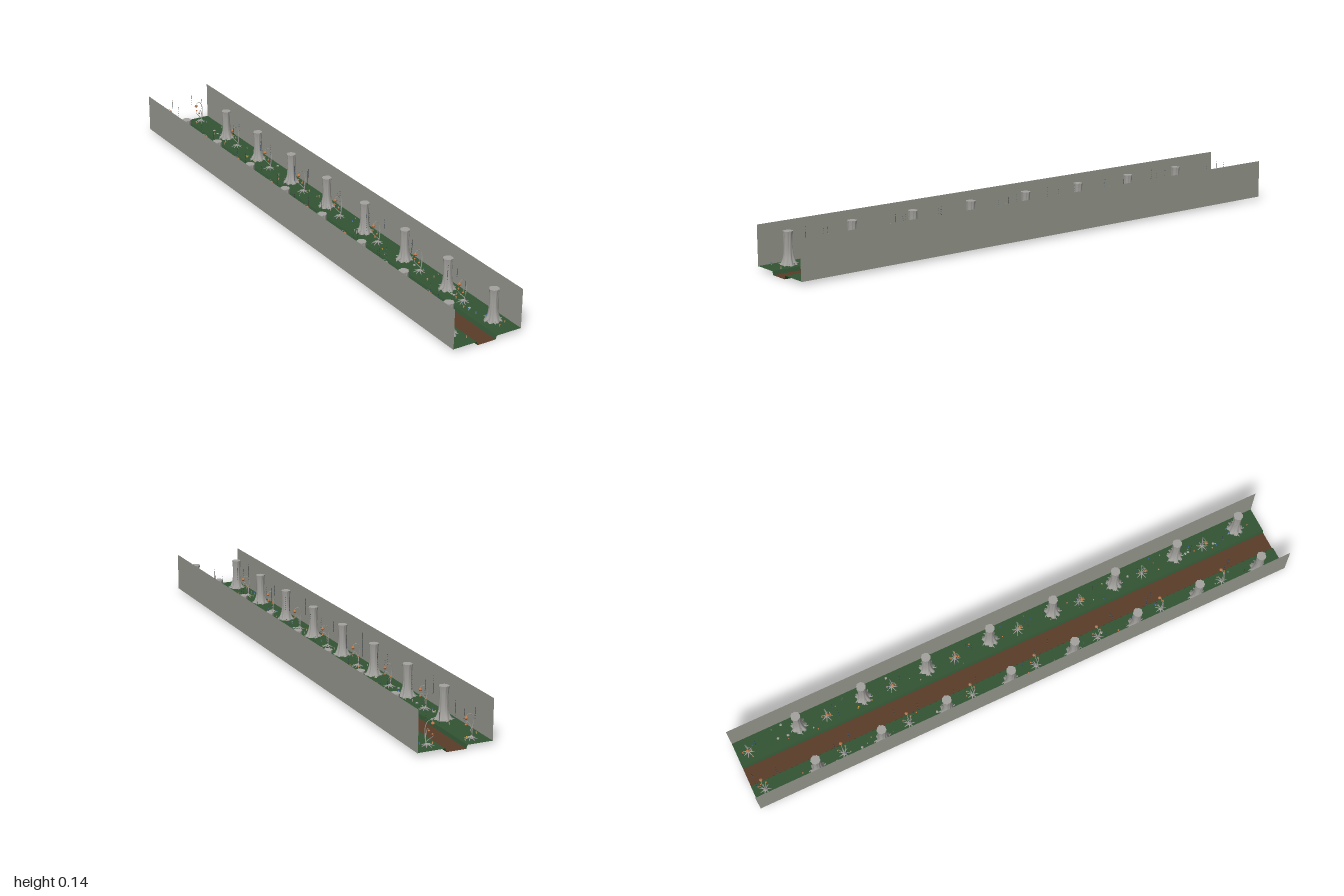
import * as THREE from 'three';
import { mergeGeometries } from 'three/addons/utils/BufferGeometryUtils.js';

const mat = (name, color, side = THREE.FrontSide) => {
  const m = new THREE.MeshStandardMaterial({ color, side });
  m.name = name;
  return m;
};
const V = (x, y, z) => new THREE.Vector3(x, y, z);
const GROUND = 0.012;

// Small seeded generator for scattering
let seed = 7;
const rand = () => (seed = (seed * 16807) % 2147483647) / 2147483647;
const range = (a, b) => a + (b - a) * rand();

// Tapered round limb along a curve
function limb(points, r0, r1, segs = 10, sides = 6) {
  const curve = new THREE.CatmullRomCurve3(points);
  const g = new THREE.TubeGeometry(curve, segs, 1, sides);
  const p = g.attributes.position, c = V(0, 0, 0), v = V(0, 0, 0);
  for (let i = 0; i < p.count; i++) {
    const t = Math.floor(i / (sides + 1)) / segs;
    curve.getPointAt(t, c);
    v.fromBufferAttribute(p, i).sub(c).multiplyScalar(r0 + (r1 - r0) * t).add(c);
    p.setXYZ(i, v.x, v.y, v.z);
  }
  return g;
}

// Grooved trunk flaring at the foot and slightly at the crown, with roots
function trunkGeometry() {
  const h = 0.109;
  const g = new THREE.CylinderGeometry(1, 1, h, 36, 14);
  const p = g.attributes.position;
  for (let i = 0; i < p.count; i++) {
    const x = p.getX(i), z = p.getZ(i), t = p.getY(i) / h + 0.5;
    const a = Math.atan2(z, x);
    const bark = 1 + 0.06 * Math.sin(9 * a + 2 * t) + 0.04 * Math.sin(5 * a - 4 * t);
    const foot = 0.013 * Math.pow(1 - t, 5) * (1 + 0.3 * Math.sin(7 * a));
    const r = 0.0132 * bark + foot + 0.003 * Math.pow(t, 6);
    p.setXYZ(i, x * r, t * h, z * r);
  }
  g.computeVertexNormals();
  const parts = [g];
  for (let i = 0; i < 9; i++) {
    const a = (i / 9) * Math.PI * 2 + 0.25 * Math.sin(i * 5), len = 0.031 + 0.004 * Math.sin(i * 3);
    const at = (r, y, d) => V(Math.cos(a + d) * r, y, Math.sin(a + d) * r);
    parts.push(limb([at(0.011, 0.022, 0), at(0.018, 0.008, 0.05), at(0.026, 0.003, 0.15), at(len, 0.0015, 0.05)], 0.005, 0.0014));
  }
  return mergeGeometries(parts);
}

// Hooked plant with a spread of low roots; s is the side of the path
function twigGeometry(s) {
  const parts = [
    limb([V(0.004, 0, 0), V(0.007, 0.03, 0.003), V(0.009, 0.06, 0), V(0.002, 0.078, -0.002), V(-0.011, 0.08, 0), V(-0.016, 0.074, 0)]
      .map((v) => v.setX(v.x * s)), 0.0022, 0.0007, 20),
    limb([V(0.006, 0.028, 0.002), V(0, 0.045, 0.008), V(-0.006, 0.052, 0.011), V(-0.01, 0.046, 0.012)]
      .map((v) => v.setX(v.x * s)), 0.0014, 0.0006, 12),
    limb([V(0.005, 0.015, 0), V(-0.004, 0.026, -0.008), V(-0.01, 0.035, -0.015), V(-0.006, 0.042, -0.018)]
      .map((v) => v.setX(v.x * s)), 0.0014, 0.0005, 12),
  ];
  for (let i = 0; i < 7; i++) {
    const a = i * 0.9;
    parts.push(limb([V(0.004 * s, 0.008, 0), V(Math.cos(a) * 0.011, 0.004, Math.sin(a) * 0.011),
      V(Math.cos(a) * 0.02, 0.0008, Math.sin(a) * 0.02)], 0.0028, 0.0008, 6));
  }
  return mergeGeometries(parts);
}

export function createModel() {
  const model = new THREE.Group();
  model.name = 'forestPath';
  const grass = mat('grass green', 0x325433, THREE.DoubleSide);
  const earth = mat('path brown', 0x5a3c28, THREE.DoubleSide);
  const wallMat = mat('wall grey', 0x96988e, THREE.DoubleSide);
  const bark = mat('bark grey', 0xa3a29e);
  const cord = mat('cord dark', 0x3c3c40);
  const blue = mat('bead blue', 0x35608c);
  const orange = mat('lantern orange', 0xc07a4a);
  const pale = mat('stem pale', 0xb9b2a4);
  const yellow = mat('petal yellow', 0xc99a35);

  const add = (name, geo, material, x = 0, y = 0, z = 0, parent = model) => {
    const m = new THREE.Mesh(geo, material);
    m.name = name;
    m.position.set(x, y, z);
    parent.add(m);
    return m;
  };

  // Long sheet between two points of the cross-section
  const sheet = (name, material, x0, y0, x1, y1) => {
    const g = new THREE.PlaneGeometry(Math.hypot(x1 - x0, y1 - y0), 2).rotateX(-Math.PI / 2)
      .rotateZ(Math.atan2(y1 - y0, x1 - x0));
    add(name, g, material, (x0 + x1) / 2, (y0 + y1) / 2);
  };
  sheet('leftGrass', grass, 0.035, GROUND, 0.125, GROUND);
  sheet('rightGrass', grass, -0.125, GROUND, -0.04, GROUND);
  sheet('leftBank', grass, 0.03, 0, 0.035, GROUND);
  sheet('rightBank', grass, -0.04, GROUND, -0.036, 0);
  sheet('path', earth, -0.036, 0, 0.03, 0);
  for (const s of [-1, 1]) sheet(s > 0 ? 'leftWall' : 'rightWall', wallMat, s * 0.125, 0.01, s * 0.125, 0.145);

  // Trees in two rows
  const trunk = trunkGeometry();
  for (const s of [-1, 1]) for (let i = 0; i < 8; i++) {
    const tree = add('tree', trunk, bark, s * 0.084, GROUND - 0.001, -0.77 + i * 0.2405);
    tree.rotation.y = s > 0 ? 0.4 : 0;
  }

  // Hooked plants carrying lanterns
  const lantern = new THREE.LatheGeometry([[0.0001, -0.005], [0.003, -0.0045], [0.0055, -0.001], [0.006, 0.001],
    [0.004, 0.004], [0.0012, 0.006], [0.0001, 0.0065]].map(([x, y]) => new THREE.Vector2(x, y)), 10);
  const spots = [-0.96, -0.67, -0.428, -0.19, 0.052, 0.29, 0.535, 0.775];
  for (const s of [-1, 1]) {
    const twig = twigGeometry(s);
    for (const z of spots) {
      const plant = new THREE.Group();
      plant.name = 'lanternPlant';
      plant.position.set(s * 0.072, GROUND, z);
      model.add(plant);
      add('twig', twig, bark, 0, 0, 0, plant);
      add('largeLantern', lantern, orange, -0.016 * s, 0.068, 0, plant);
      add('smallLantern', lantern, orange, -0.01 * s, 0.042, 0.012, plant).scale.setScalar(0.6);
      add('smallLantern', lantern, orange, -0.006 * s, 0.042, -0.018, plant).scale.setScalar(0.5);
    }
  }

  // Bead strings hanging over the verges
  const bead = new THREE.OctahedronGeometry(0.0016);
  const beadString = (x, z, length) => {
    const g = new THREE.Group();
    g.name = 'beadString';
    g.position.set(x, 0.118, z);
    model.add(g);
    add('cord', new THREE.CylinderGeometry(0.0004, 0.0004, length, 4), cord, 0, -length / 2, 0, g);
    const n = Math.round(length / 0.008);
    for (let k = 0; k <= n; k++) add('bead', bead, k % 2 ? blue : cord, 0, (-k * length) / n, 0, g);
  };
  const columns = [[-0.104, 0.058], [-0.074, 0.035], [-0.06, 0.05], [-0.051, 0.056], [-0.045, 0.045], [-0.037, 0.036],
    [0.04, 0.056], [0.046, 0.034], [0.055, 0.05], [0.062, 0.036], [0.069, 0.03]];
  spots.forEach((z, i) => columns.forEach(([x, length], k) => {
    if ((k + i) % 2) beadString(x, THREE.MathUtils.clamp(z + range(-0.07, 0.07), -0.98, 0.98), length);
  }));

  // Mushrooms, flowers and stones scattered on the grass
  const stem = new THREE.CylinderGeometry(0.0008, 0.0012, 0.006, 6);
  const cap = new THREE.SphereGeometry(0.003, 8, 4, 0, Math.PI * 2, 0, Math.PI / 2);
  const capBase = new THREE.CircleGeometry(0.003, 8).rotateX(Math.PI / 2);
  const capGeo = mergeGeometries([cap, capBase]);
  const stone = new THREE.DodecahedronGeometry(0.005).scale(1, 0.6, 1);
  for (const s of [-1, 1]) for (let i = 0; i < 60; i++) {
    const x = s * range(0.045, 0.115), z = range(-0.97, 0.97);
    if (i % 6 === 5) {
      add('stone', stone, bark, x, GROUND + 0.001, z).rotation.y = i;
    } else {
      add('stem', stem, pale, x, GROUND + 0.003, z);
      add('cap', capGeo, [orange, blue, yellow][i % 3], x, GROUND + 0.005, z).scale.setScalar(range(0.6, 1.1));
    }
  }
  return model;
}
